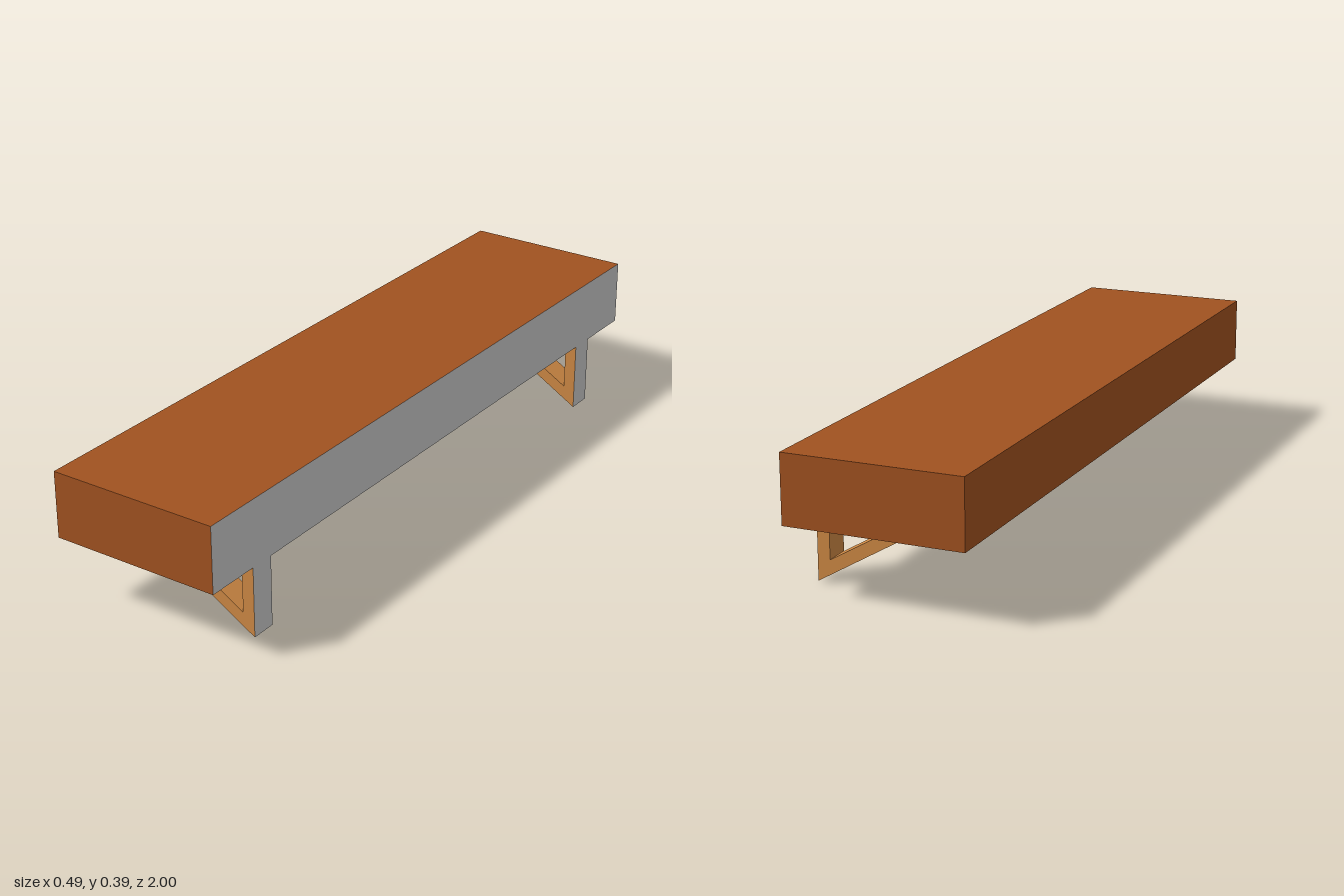
import * as THREE from 'three';

const grey = new THREE.MeshStandardMaterial({ color: 0xcccccc });
const darkWood = new THREE.MeshStandardMaterial({ color: 0xa05220 });
const lightWood = new THREE.MeshStandardMaterial({ color: 0xcd8844 });

const HALF_WIDTH = 0.247;
const SHELF_BOTTOM = 0.2;
const SHELF_TOP = 0.388;
const BRACKET_DEPTH = 0.073;

// Faces looking along +x sit against the wall and stay unpainted (material 1).
function groupWallFaces(geometry) {
  const normal = geometry.attributes.normal;
  geometry.clearGroups();
  for (let i = 0; i < normal.count; i += 3) {
    geometry.addGroup(i, 3, normal.getX(i) > 0.9 ? 1 : 0);
  }
  return geometry;
}

// Triangular bracket with a triangular opening
function createBracketGeometry() {
  const outline = new THREE.Shape([
    new THREE.Vector2(-0.092, SHELF_BOTTOM),
    new THREE.Vector2(HALF_WIDTH, 0),
    new THREE.Vector2(HALF_WIDTH, SHELF_BOTTOM),
  ]);
  outline.holes.push(new THREE.Path([
    new THREE.Vector2(0.034, 0.165),
    new THREE.Vector2(0.212, 0.165),
    new THREE.Vector2(0.212, 0.061),
  ]));
  const geometry = new THREE.ExtrudeGeometry(outline, { depth: BRACKET_DEPTH, bevelEnabled: false });
  geometry.translate(0, 0, -BRACKET_DEPTH / 2);
  return groupWallFaces(geometry);
}

export function createModel() {
  const group = new THREE.Group();
  group.name = 'wallShelf';

  // Thick board
  const board = new THREE.BoxGeometry(HALF_WIDTH * 2, SHELF_TOP - SHELF_BOTTOM, 2).toNonIndexed();
  const shelf = new THREE.Mesh(groupWallFaces(board), [darkWood, grey]);
  shelf.name = 'shelfBoard';
  shelf.position.y = (SHELF_TOP + SHELF_BOTTOM) / 2;
  group.add(shelf);

  // Supports near both ends
  const bracketGeometry = createBracketGeometry();
  for (const [name, z] of [['frontBracket', 0.806], ['backBracket', -0.792]]) {
    const bracket = new THREE.Mesh(bracketGeometry, [lightWood, grey]);
    bracket.name = name;
    bracket.position.z = z;
    group.add(bracket);
  }
  return group;
}
